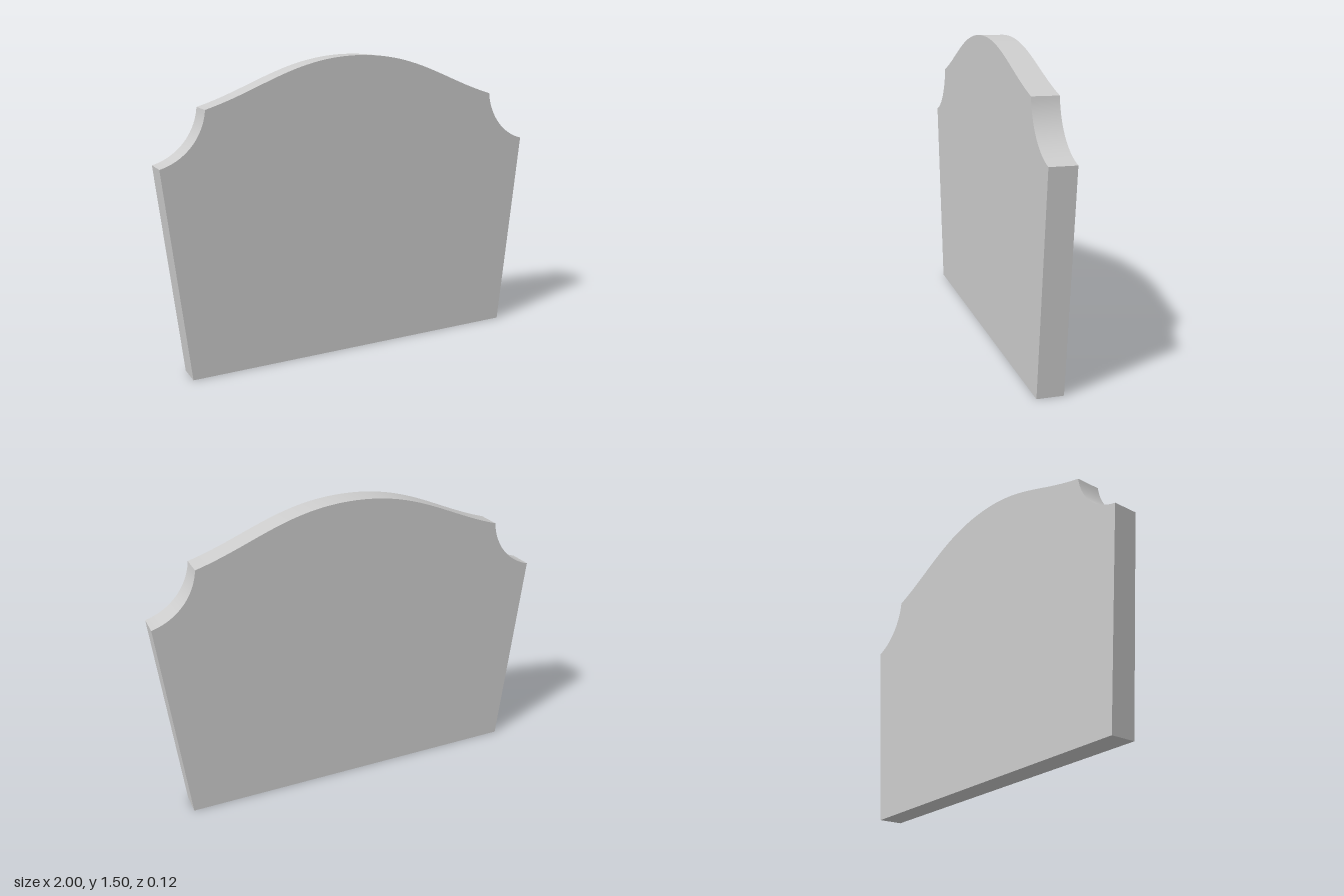
import * as THREE from 'three';
import { toCreasedNormals } from 'three/addons/utils/BufferGeometryUtils.js';

const THICKNESS = 0.125;

// Right half of the outline, from the crown down to the foot
function halfOutline() {
  const crown = new THREE.CubicBezierCurve(
    new THREE.Vector2(0, 1.5), new THREE.Vector2(0.33, 1.5),
    new THREE.Vector2(0.5, 1.36), new THREE.Vector2(0.78, 1.28));
  // Concave shoulder scoop
  const cx = 1.07, cy = 1.31;
  const start = Math.atan2(1.28 - cy, 0.78 - cx);
  const end = Math.atan2(1.027 - cy, 1 - cx);
  const scoop = new THREE.EllipseCurve(cx, cy, 0.2916, 0.2916, start, end, false);
  return [
    ...crown.getPoints(28),
    ...scoop.getPoints(18).slice(1, -1),
    new THREE.Vector2(1, 1.027),
    new THREE.Vector2(0.89, 0),
  ];
}

export function createModel() {
  const group = new THREE.Group();
  group.name = 'headboard';

  // Mirror the half outline to close the panel
  const half = halfOutline();
  const mirrored = half.slice(1).reverse().map(p => new THREE.Vector2(-p.x, p.y));
  const shape = new THREE.Shape([...half, ...mirrored]);

  const geometry = new THREE.ExtrudeGeometry(shape, { depth: THICKNESS, bevelEnabled: false });
  geometry.translate(0, 0, -THICKNESS / 2);

  const panel = new THREE.Mesh(
    toCreasedNormals(geometry, Math.PI / 7),
    new THREE.MeshStandardMaterial({ color: 0xcccccc }));
  panel.name = 'panel';
  group.add(panel);
  return group;
}
